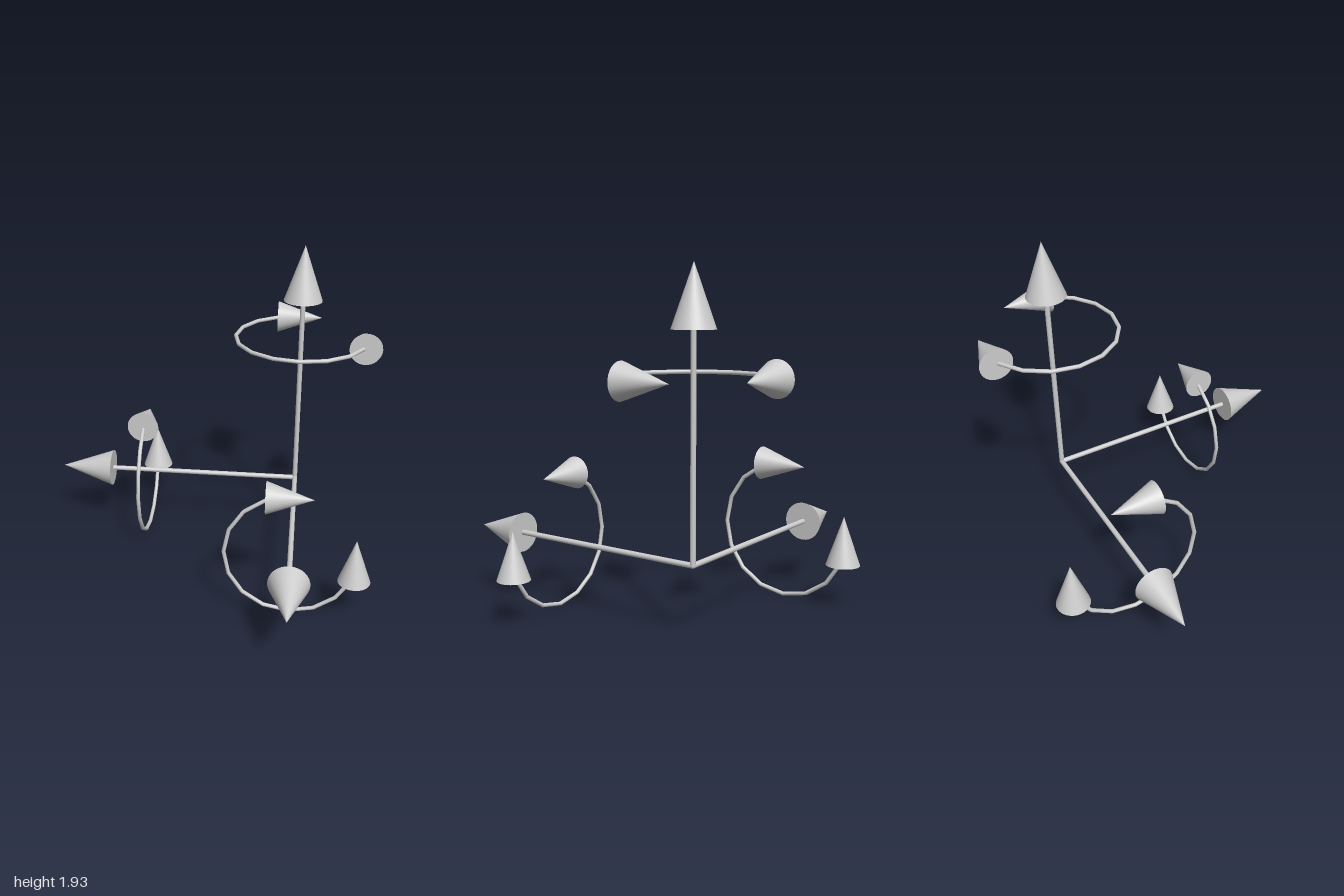
import * as THREE from 'three';

const material = new THREE.MeshStandardMaterial({ color: 0xcccccc });

function addMesh(parent, name, geometry) {
  const mesh = new THREE.Mesh(geometry, material);
  mesh.name = name;
  parent.add(mesh);
  return mesh;
}

// Straight axis arrow along +y, starting at its own origin
function axisArrow(name) {
  const shaftLength = 1.19, tipLength = 0.33;
  const arrow = new THREE.Group();
  arrow.name = name;
  addMesh(arrow, 'shaft', new THREE.CylinderGeometry(0.015, 0.015, shaftLength, 16))
    .position.y = shaftLength / 2;
  addMesh(arrow, 'arrowhead', new THREE.ConeGeometry(0.115, tipLength, 32))
    .position.y = shaftLength + tipLength / 2;
  return arrow;
}

// Open ring in the xy plane with an arrowhead at both ends
function rotationArrow(name) {
  const headLength = 0.28, headMiddle = -0.015, headOffset = 0.38;
  const ring = new THREE.Group();
  ring.name = name;
  const arc = addMesh(ring, 'arc',
    new THREE.TorusGeometry(0.395, 0.012, 12, 10, THREE.MathUtils.degToRad(225)));
  arc.rotation.z = THREE.MathUtils.degToRad(112.5);

  const head = new THREE.ConeGeometry(0.097, headLength, 32);
  const topHead = addMesh(ring, 'topArrowhead', head);
  topHead.position.set(headMiddle, headOffset, 0);
  topHead.rotation.z = -Math.PI / 2;
  addMesh(ring, 'sideArrowhead', head).position.set(headOffset, headMiddle, 0);
  return ring;
}

export function createModel() {
  const model = new THREE.Group();
  model.name = 'rotationAxes';
  model.position.set(0.52, 0.415, -0.525);

  // Three axis arrows meeting at one corner
  const up = axisArrow('upAxis');
  const side = axisArrow('sideAxis');
  side.rotation.z = Math.PI / 2;
  const front = axisArrow('frontAxis');
  front.rotation.x = Math.PI / 2;
  model.add(up, side, front);
  addMesh(model, 'cornerJoint', new THREE.SphereGeometry(0.015, 16, 12));

  // One double-headed rotation arrow around each axis
  const upRing = rotationArrow('upRotation');
  upRing.position.y = 0.955;
  upRing.rotation.x = -Math.PI / 2;
  const sideRing = rotationArrow('sideRotation');
  sideRing.position.x = -0.955;
  sideRing.rotation.y = Math.PI / 2;
  const frontRing = rotationArrow('frontRotation');
  frontRing.position.z = 0.91;
  frontRing.scale.setScalar(0.95);
  model.add(upRing, sideRing, frontRing);

  const root = new THREE.Group();
  root.name = 'model';
  root.add(model);
  return root;
}
